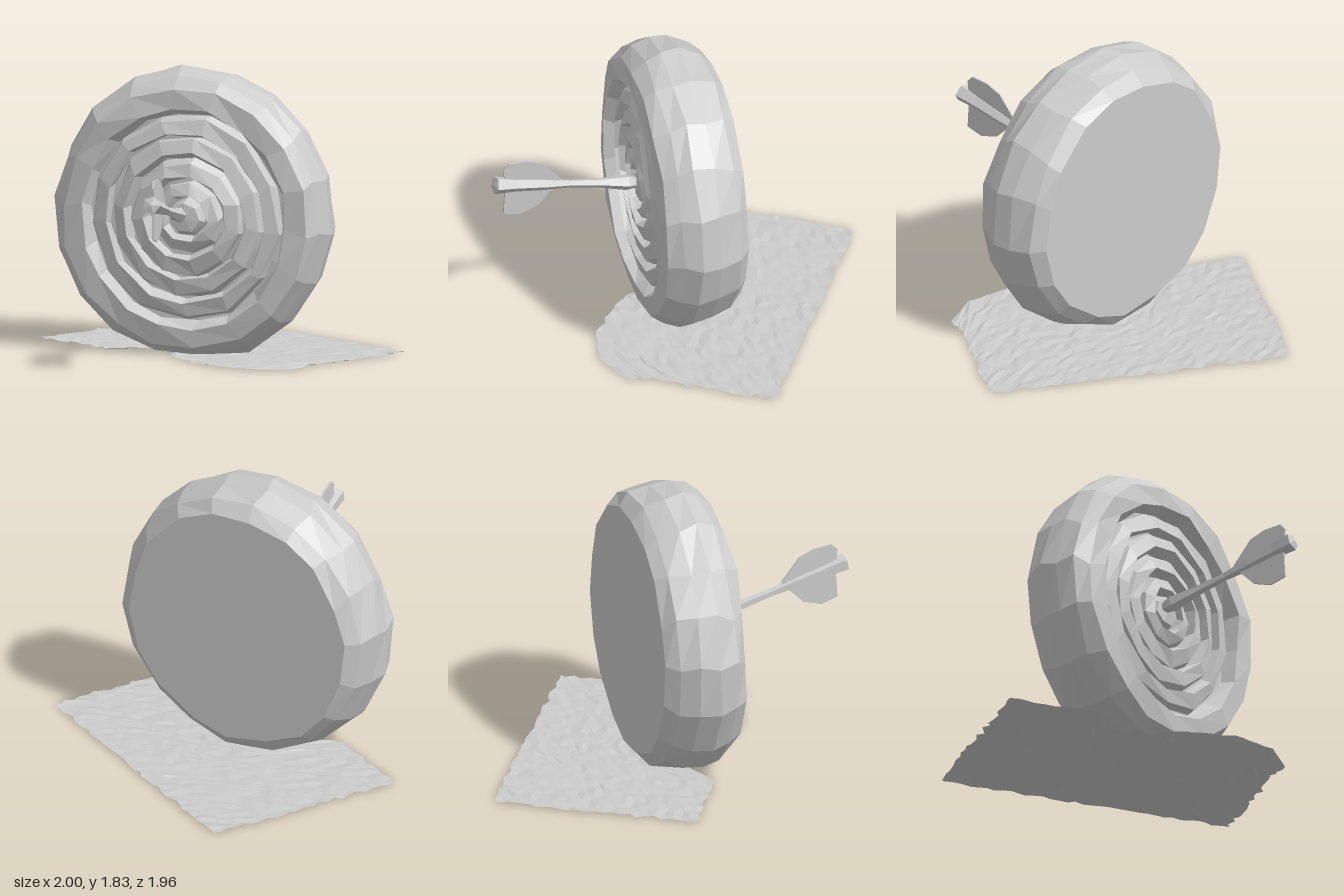
import * as THREE from 'three';
import { mergeVertices } from 'three/addons/utils/BufferGeometryUtils.js';

const grey = new THREE.MeshStandardMaterial({ color: 0xcccccc, flatShading: true, side: THREE.DoubleSide });

let seed = 7;
function jitter(amount) {
  seed = (seed * 16807) % 2147483647;
  return (seed / 2147483647 * 2 - 1) * amount;
}

function mesh(name, geometry) {
  const m = new THREE.Mesh(geometry, grey);
  m.name = name;
  return m;
}

// Low-poly turned shape about +z with hand-cut irregularity; profile is [radius, depth]
function carved(profile, sides, phase, rough) {
  let g = new THREE.LatheGeometry(profile.map(([r, d]) => new THREE.Vector2(r, d)), sides, phase);
  g.deleteAttribute('uv');
  g.deleteAttribute('normal');
  g = mergeVertices(g, 1e-4);
  g.rotateX(Math.PI / 2);
  const p = g.attributes.position;
  for (let i = 0; i < p.count; i++) {
    const r = Math.hypot(p.getX(i), p.getY(i));
    if (r < 0.01) continue;
    const a = Math.atan2(p.getY(i), p.getX(i)) + jitter(rough / r);
    const nr = r + jitter(rough * 0.5);
    const flatBack = p.getZ(i) < -0.3;
    p.setXYZ(i, Math.cos(a) * nr, Math.sin(a) * nr * 1.04, p.getZ(i) + (flatBack ? 0 : jitter(rough * 0.4)));
  }
  return g;
}

function createTarget() {
  const target = new THREE.Group();
  target.name = 'target';
  const centreY = 0.885;

  // Bulging body with flat back and raised rim, flattened where it rests on the ground
  const body = carved([
    [0, -0.31], [0.77, -0.31], [0.85, -0.235], [0.895, -0.1], [0.905, 0.03],
    [0.875, 0.14], [0.81, 0.225], [0.68, 0.24], [0.64, 0.14], [0, 0.13],
  ], 18, 0.1, 0.03);
  const p = body.attributes.position;
  for (let i = 0; i < p.count; i++) p.setY(i, Math.max(p.getY(i), 0.002 - centreY));
  target.add(mesh('targetBody', body));

  // Concentric raised rings on the face
  [[0.57, 13], [0.435, 12], [0.305, 11]].forEach(([r, sides], k) => {
    const ring = carved([
      [r + 0.075, 0.12], [r + 0.045, 0.19], [r - 0.035, 0.215], [r - 0.065, 0.12],
    ], sides, k * 0.37, 0.025);
    target.add(mesh('faceRing', ring));
  });

  // Innermost ring and bullseye
  target.add(mesh('innerRing', carved([[0.235, 0.12], [0.215, 0.19], [0.15, 0.215], [0.125, 0.13]], 9, 0.2, 0.02)));
  target.add(mesh('bullseye', carved([[0.125, 0.12], [0.095, 0.2], [0, 0.215]], 7, 0.5, 0.015)));

  target.rotation.y = 0.535;
  target.position.set(0.043, centreY, -0.026);
  return target;
}

function createDart() {
  const dart = new THREE.Group();
  dart.name = 'dart';

  // Shaft: flared nose, narrow waist, blocky tail
  const shaft = new THREE.LatheGeometry([
    [0, -0.06], [0.035, -0.05], [0.052, 0.02], [0.032, 0.2], [0.026, 0.42],
    [0.04, 0.6], [0.046, 0.8], [0.06, 0.94], [0, 0.955],
  ].map(([r, d]) => new THREE.Vector2(r, d)), 5, 0.3);
  shaft.rotateX(Math.PI / 2);
  dart.add(mesh('shaft', shaft));

  // Upright flight fin, outlined as [along shaft, height]
  const outline = [
    [0.496, 0.04], [0.652, 0.158], [0.759, 0.175], [0.882, 0.157], [0.909, 0.109], [0.87, -0.005],
    [0.835, -0.212], [0.719, -0.217], [0.606, -0.15], [0.531, -0.03],
  ];
  const fin = new THREE.ExtrudeGeometry(
    new THREE.Shape(outline.map(([s, v]) => new THREE.Vector2(s, v))),
    { depth: 0.012, bevelEnabled: false });
  fin.translate(0, 0, -0.006);
  fin.rotateY(-Math.PI / 2);
  dart.add(mesh('flightFin', fin));

  dart.position.set(0.15, 0.91, 0.2);
  dart.lookAt(0.71, 1.125, 0.95);
  return dart;
}

function createGround() {
  // Front edge as [x, z], with a notch below the target
  const edge = [[-1, 0.35], [-0.35, 0.33], [-0.22, 0.12], [0, 0.1], [0.08, 0.24], [0.3, 0.28], [0.58, 0.31], [0.85, 0.21], [1, 0.0]];
  const frontZ = (x) => {
    const k = Math.max(1, edge.findIndex((e) => e[0] >= x - 1e-6));
    const [a, b] = [edge[k - 1], edge[k]];
    return THREE.MathUtils.lerp(a[1], b[1], (x - a[0]) / (b[0] - a[0]));
  };
  const nx = 36, nz = 24;
  const g = new THREE.PlaneGeometry(2, 2, nx, nz);
  g.rotateX(-Math.PI / 2);
  const p = g.attributes.position;
  for (let i = 0; i < p.count; i++) {
    const col = i % (nx + 1), row = Math.floor(i / (nx + 1));
    const x0 = p.getX(i);
    const t = row / nz;
    const sideEdge = col === 0 || col === nx;
    const x = sideEdge ? x0 * (0.98 + jitter(0.02)) : x0 * 0.99 + jitter(0.012);
    const z = THREE.MathUtils.lerp(-0.975, frontZ(x0), t) + jitter(0.014);
    p.setXYZ(i, x, 0.007 + jitter(0.006), z);
  }
  return mesh('groundPatch', g);
}

export function createModel() {
  const model = new THREE.Group();
  model.name = 'targetWithDart';
  model.add(createGround(), createTarget(), createDart());
  return model;
}
